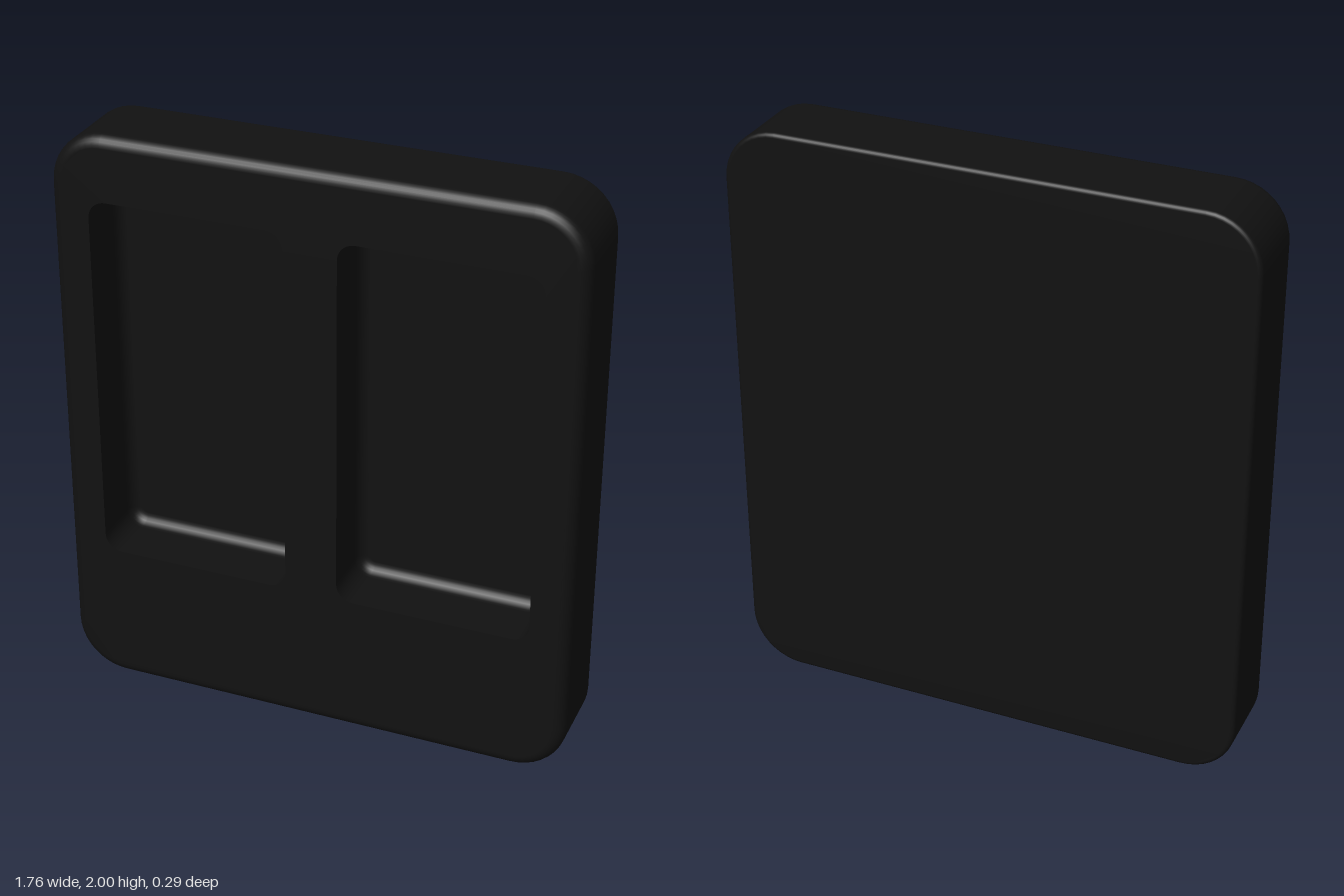
import * as THREE from 'three';

const DARK = new THREE.MeshStandardMaterial({ color: 0x111111 });
const HALF_DEPTH = 0.146;
const FLOOR_Z = -0.06;
const ARC_STEPS = 6;

// Points of a rounded rectangle, anticlockwise, each with its outward direction
function outline({ x, y, w, h, r }, inset = 0, steps = 10) {
  const points = [];
  [[1, -1], [1, 1], [-1, 1], [-1, -1]].forEach(([sx, sy], corner) => {
    for (let i = 0; i <= steps; i++) {
      const a = (corner - 1 + i / steps) * Math.PI / 2;
      const dx = Math.cos(a), dy = Math.sin(a);
      points.push({
        x: x + sx * (w / 2 - r) + dx * (r - inset),
        y: y + sy * (h / 2 - r) + dy * (r - inset),
        dx, dy,
      });
    }
  });
  return points;
}

// Sweeps a profile of { inset, z, out, nz } around a rounded rectangle
function loft(rect, profile) {
  const positions = [], normals = [], index = [];
  let n = 0;
  profile.forEach(({ inset, z, out, nz }, k) => {
    const ring = outline(rect, inset);
    n = ring.length;
    ring.forEach((p, i) => {
      positions.push(p.x, p.y, z);
      normals.push(p.dx * out, p.dy * out, nz);
      if (k === 0) return;
      const j = (i + 1) % n, lo = (k - 1) * n, hi = k * n;
      index.push(lo + i, lo + j, hi + j, lo + i, hi + j, hi + i);
    });
  });
  const geometry = new THREE.BufferGeometry();
  geometry.setAttribute('position', new THREE.Float32BufferAttribute(positions, 3));
  geometry.setAttribute('normal', new THREE.Float32BufferAttribute(normals, 3));
  geometry.setIndex(index);
  return geometry;
}

const toPath = (rect, inset) => outline(rect, inset).map(p => new THREE.Vector2(p.x, p.y));

function add(group, name, geometry) {
  const mesh = new THREE.Mesh(geometry, DARK);
  mesh.name = name;
  group.add(mesh);
  return mesh;
}

export function createModel() {
  const model = new THREE.Group();
  model.name = 'recessedPanel';

  const plate = { x: 0, y: 1, w: 1.764, h: 2, r: 0.18 };
  const pockets = [-1, 1].map(s => ({ x: s * 0.42, y: 1.14, w: 0.66, h: 1.28, r: 0.06 }));

  // Outer rim: small round at the back, larger round at the front
  const back = 0.015, front = 0.04, rim = [];
  for (let i = 0; i <= ARC_STEPS; i++) {
    const a = (i / ARC_STEPS) * Math.PI / 2, s = Math.sin(a), c = Math.cos(a);
    rim.push({ inset: back * (1 - s), z: -HALF_DEPTH + back * (1 - c), out: s, nz: -c });
  }
  for (let i = 0; i <= ARC_STEPS; i++) {
    const a = (i / ARC_STEPS) * Math.PI / 2, s = Math.sin(a), c = Math.cos(a);
    rim.push({ inset: front * (1 - c), z: HALF_DEPTH - front * (1 - s), out: c, nz: s });
  }
  add(model, 'outerRim', loft(plate, rim));

  // Flat back
  const backFace = new THREE.ShapeGeometry(new THREE.Shape(toPath(plate, back)));
  backFace.rotateY(Math.PI);
  add(model, 'backFace', backFace).position.z = -HALF_DEPTH;

  // Front frame with two openings
  const frame = new THREE.Shape(toPath(plate, front));
  pockets.forEach(p => frame.holes.push(new THREE.Path(toPath(p, 0))));
  add(model, 'frontFace', new THREE.ShapeGeometry(frame)).position.z = HALF_DEPTH;

  // Pockets: straight walls curving into a flat floor
  const fillet = 0.04;
  const wall = [{ inset: 0, z: HALF_DEPTH, out: -1, nz: 0 }];
  for (let i = 0; i <= ARC_STEPS; i++) {
    const a = (i / ARC_STEPS) * Math.PI / 2, s = Math.sin(a), c = Math.cos(a);
    wall.push({ inset: fillet * (1 - c), z: FLOOR_Z + fillet * (1 - s), out: -c, nz: s });
  }
  pockets.forEach((p, i) => {
    const pocket = new THREE.Group();
    pocket.name = i ? 'leftPocket' : 'rightPocket';
    add(pocket, 'pocketWall', loft(p, wall));
    add(pocket, 'pocketFloor', new THREE.ShapeGeometry(new THREE.Shape(toPath(p, fillet)))).position.z = FLOOR_Z;
    model.add(pocket);
  });

  return model;
}
